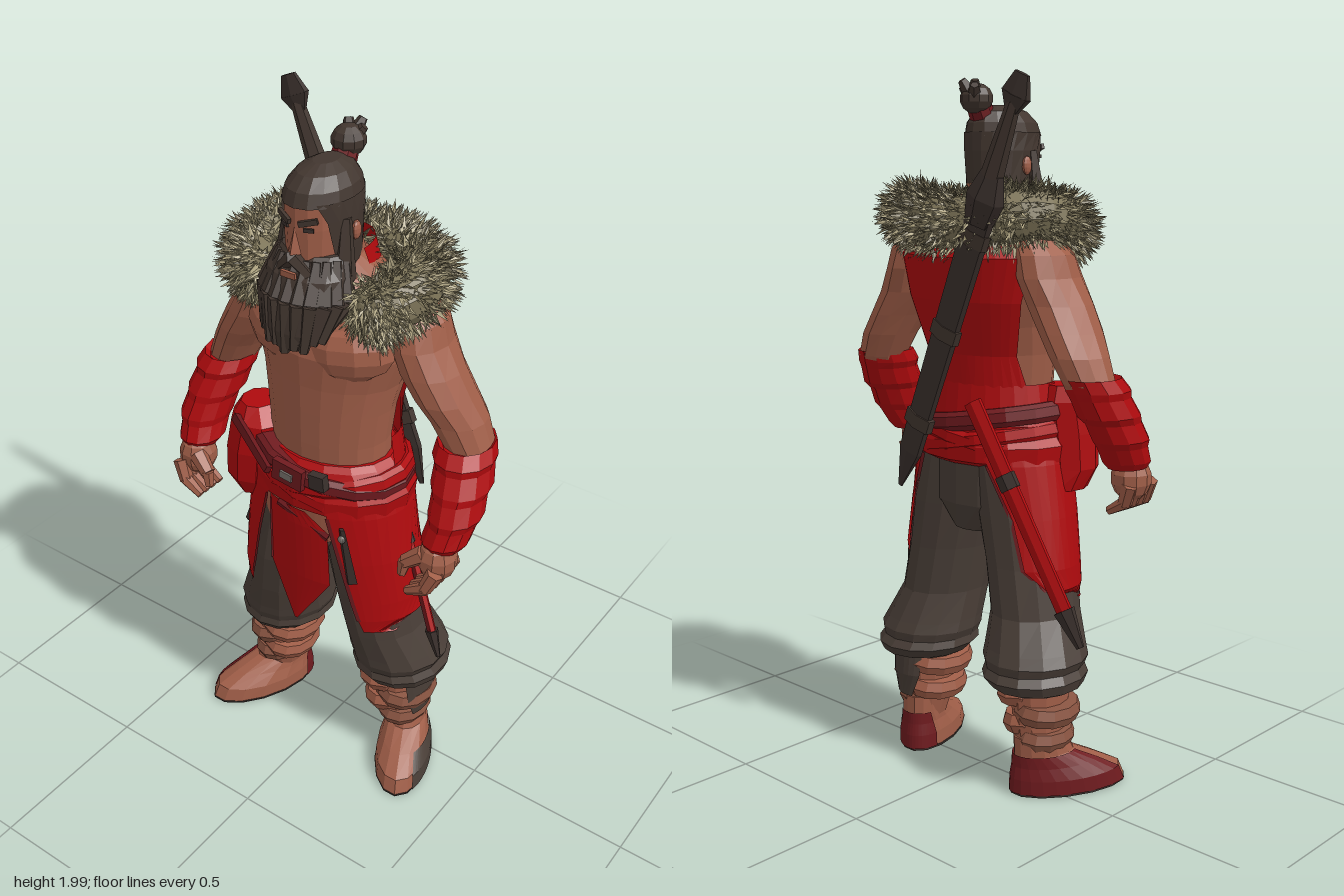
import * as THREE from 'three';

const mat = (name, color) => {
  const m = new THREE.MeshStandardMaterial({ color, flatShading: true, side: THREE.DoubleSide });
  m.name = name;
  return m;
};

export function createModel() {
  const skin = mat('skin', 0xa05e48), red = mat('red cloth', 0xae0a0d), maroon = mat('maroon leather', 0x6e1a1e);
  const hair = mat('hair', 0x42362f), cloth = mat('trouser cloth', 0x493e37), dark = mat('dark metal', 0x3a302c);
  const furLight = mat('light fur', 0xb0a582), furDark = mat('dark fur', 0x7d7458), wrap = mat('leg wrap', 0x8a5542);
  const steel = mat('steel', 0x77706a);
  const root = new THREE.Group();
  let seed = 7;
  const rnd = () => (seed = (seed * 16807) % 2147483647) / 2147483647;
  const V = (x, y, z) => new THREE.Vector3(x, y, z);
  const P = Math.PI;

  const add = (name, geo, material, parent = root) => {
    const m = new THREE.Mesh(geo, material);
    m.name = name;
    parent.add(m);
    return m;
  };
  // Stack of horizontal rings [y, cx, cz, rx, rz, a0, a1], bottom to top; angle 0 faces front, s mirrors in x.
  const loft = (name, material, rings, { n = 16, s = 1, parent = root } = {}) => {
    const pos = [], idx = [], open = rings[0].length > 5;
    for (const [y, cx, cz, rx, rz, a0 = 0, a1 = P * 2] of rings)
      for (let j = 0; j <= n; j++) {
        const t = (s > 0 ? a0 : -a1) + (a1 - a0) * j / n;
        pos.push(s * cx + rx * Math.sin(t), y, cz + rz * Math.cos(t));
      }
    const w = n + 1, last = (rings.length - 1) * w;
    for (let i = 0; i < rings.length - 1; i++)
      for (let j = 0; j < n; j++) {
        const a = i * w + j;
        idx.push(a, a + 1, a + w + 1, a, a + w + 1, a + w);
      }
    if (!open) {
      const e = rings[rings.length - 1], b = pos.length / 3;
      pos.push(s * rings[0][1], rings[0][0], rings[0][2], s * e[1], e[0], e[2]);
      for (let j = 0; j < n; j++) idx.push(b, j + 1, j, b + 1, last + j, last + j + 1);
    }
    const g = new THREE.BufferGeometry();
    g.setAttribute('position', new THREE.Float32BufferAttribute(pos, 3));
    g.setIndex(idx);
    g.computeVertexNormals();
    return add(name, g, material, parent);
  };
  // Tapered rod between two points
  const rod = (name, material, p, q, r0, r1, n = 6, flat = 1, parent = root) => {
    const d = q.clone().sub(p), m = add(name, new THREE.CylinderGeometry(r1, r0, d.length(), n), material, parent);
    m.position.copy(p).add(q).multiplyScalar(0.5);
    m.quaternion.setFromUnitVectors(V(0, 1, 0), d.normalize());
    m.scale.z = flat;
    return m;
  };
  const ball = (name, material, x, y, z, rx, ry, rz) => {
    const m = add(name, new THREE.SphereGeometry(1, 10, 7), material);
    m.position.set(x, y, z);
    m.scale.set(rx, ry, rz);
    return m;
  };
  const box = (name, material, x, y, z, w, h, d, rz = 0) => {
    const m = add(name, new THREE.BoxGeometry(w, h, d), material);
    m.position.set(x, y, z);
    m.rotation.z = rz;
    return m;
  };

  // Torso, vest and neck
  loft('torso', skin, [[.9, 0, .05, .17, .13], [1.05, 0, .06, .182, .135], [1.15, 0, .06, .182, .138], [1.25, 0, .055, .193, .143],
    [1.33, 0, .04, .208, .158], [1.42, 0, .025, .24, .176], [1.5, 0, .005, .25, .175], [1.56, 0, 0, .22, .15], [1.62, 0, .01, .12, .11], [1.67, 0, .04, .08, .08], [1.74, 0, .06, .07, .08]], { n: 20 });
  loft('vestBack', red, [[1.1, 0, .05, .2, .155, P - 1.3, P + 1.3], [1.25, 0, .045, .205, .16, P - 1, P + 1], [1.4, 0, .02, .245, .18, P - 1.05, P + 1.05],
    [1.52, 0, 0, .258, .18, P - 1.2, P + 1.2], [1.6, 0, 0, .17, .135, P - 1.3, P + 1.3]]);
  loft('neckScarf', red, [[1.6, 0, .01, .11, .11, 1.5, P * 2 - 1.5], [1.69, 0, .03, .09, .115, 1.5, P * 2 - 1.5]]);

  // Head and hair
  loft('head', skin, [[1.62, 0, .12, .06, .07], [1.7, 0, .1, .08, .1], [1.78, 0, .095, .084, .108], [1.84, 0, .09, .083, .112], [1.89, 0, .09, .06, .09]]);
  add('nose', new THREE.ConeGeometry(.02, .07, 4), skin).position.set(0, 1.755, .205);
  loft('hairBack', hair, [[1.63, 0, .06, .08, .085, 1.0, P * 2 - 1.0], [1.72, 0, .085, .091, .113, 1.0, P * 2 - 1.0], [1.8, 0, .085, .094, .12, .85, P * 2 - .85], [1.85, 0, .085, .093, .122, .6, P * 2 - .6]]);
  loft('hairTop', hair, [[1.84, 0, .087, .092, .123], [1.875, 0, .083, .084, .114], [1.905, 0, .076, .062, .088], [1.922, 0, .07, .03, .045]]);
  rod('hairTie', maroon, V(0, 1.89, .005), V(0, 1.915, -.008), .036, .034, 8);
  ball('topknot', hair, 0, 1.938, -.02, .046, .042, .046);
  for (let i = 0; i < 5; i++) rod('topknotTuft', hair, V(0, 1.93, -.025), V((i - 2) * .016, 1.972 + (i & 1) * .014, -.06 + (i % 3) * .018), .028, .012, 5);

  // Beard: rounded body with overlapping locks that jut forward
  loft('beard', hair, [[1.475, 0, .235, .05, .03], [1.52, 0, .215, .092, .052], [1.59, 0, .185, .118, .075], [1.66, 0, .15, .118, .085], [1.71, 0, .115, .096, .075]], { n: 14 });
  for (let i = -5; i <= 5; i++) {
    const t = i * .28, c = Math.cos(t), x = Math.sin(t);
    const tip = V(x * .1, 1.462 + .07 * (1 - c) + (i & 1 ? .012 : 0), .195 + .062 * c), bulge = V(x * .118, 1.6, .14 + .1 * c);
    rod('beardLock', hair, tip, bulge, .014, .031, 5);
    rod('beardRoot', hair, bulge, V(x * .096, 1.7, .11 + .088 * c), .031, .014, 5);
  }
  box('mouth', skin, 0, 1.672, .234, .045, .016, .009);
  for (const s of [1, -1]) {
    rod('moustache', hair, V(s * .07, 1.645, .2), V(0, 1.71, .215), .012, .02, 5);
    rod('sideburn', hair, V(s * .092, 1.64, .125), V(s * .085, 1.8, .11), .032, .016, 5);
    box('eyebrow', hair, s * .036, 1.806, .198, .05, .014, .009, s * .25).rotation.y = s * .4;
    box('eye', dark, s * .036, 1.785, .196, .026, .01, .006).rotation.y = s * .4;
    ball('ear', skin, s * .096, 1.76, .08, .011, .026, .017);
  }

  // Fur mantle: a thick U-shaped roll with rounded ends, covered with tufts
  const path = new THREE.CatmullRomCurve3([V(-.185, 1.585, .13), V(-.235, 1.61, .06), V(-.22, 1.63, -.04), V(-.125, 1.62, -.12), V(0, 1.61, -.15),
    V(.125, 1.62, -.12), V(.22, 1.63, -.04), V(.235, 1.61, .06), V(.185, 1.585, .13)]);
  const up = V(0, 1, 0), tufts = [[], []];
  add('furRoll', new THREE.TubeGeometry(path, 32, .072, 10), furDark);
  const addTuft = (base, normal, dir, k) => {
    const side = V().crossVectors(dir, normal).normalize().multiplyScalar(.01);
    const tip = base.clone().addScaledVector(dir, .035 + rnd() * .028);
    const mid = base.clone().addScaledVector(dir, .015).addScaledVector(normal, .006);
    tufts[k % 5 < 3 ? 0 : 1].push(base.clone().sub(side), mid, tip, mid, base.clone().add(side), tip);
  };
  const jitter = () => V(rnd() - .5, rnd() * .6 - .45, rnd() - .5);
  for (let k = 0; k < 3200; k++) {
    const u = rnd(), a = rnd() * P * 2, p = path.getPointAt(u), tan = path.getTangentAt(u);
    const outward = V().crossVectors(tan, up).normalize();
    if (outward.dot(V(p.x, 0, p.z - .05)) < 0) outward.negate();
    const normal = outward.clone().multiplyScalar(Math.cos(a)).addScaledVector(up, Math.sin(a));
    const dir = normal.clone().multiplyScalar(.6).addScaledVector(outward, .5).add(jitter()).normalize();
    addTuft(p.clone().addScaledVector(normal, .066), normal, dir, k);
  }
  for (const x of [-.185, .185]) {
    ball('furEnd', furDark, x, 1.585, .13, .068, .068, .04);
    for (let k = 0; k < 260; k++) {
      const a = rnd() * P * 2, h = rnd(), r = Math.sqrt(1 - h * h);
      const normal = V(r * Math.cos(a), r * Math.sin(a), h);
      const dir = V(normal.x + x * 2, normal.y - .5, .35).add(jitter()).normalize();
      addTuft(V(x, 1.585, .13).add(V(normal.x * .066, normal.y * .066, h * .039)), normal, dir, k);
    }
  }
  tufts.forEach((points, i) => {
    const g = new THREE.BufferGeometry().setFromPoints(points);
    g.computeVertexNormals();
    add('furTufts', g, i ? furDark : furLight);
  });

  for (const s of [1, -1]) {
    const o = { s, n: 12 };
    // Chest, arm, bracer and hand
    const pec = ball('pectoral', skin, s * .108, 1.44, .125, .125, .085, .07);
    pec.rotation.set(-.15, s * .25, s * .15);
    loft('arm', skin, [[1.1, .425, .03, .06, .06], [1.2, .4, -.01, .07, .075], [1.27, .365, -.01, .078, .088], [1.33, .328, 0, .08, .098], [1.4, .285, .005, .085, .1],
      [1.47, .252, 0, .076, .105], [1.53, .235, -.005, .075, .095], [1.58, .2, -.01, .055, .07], [1.6, .19, -.01, .03, .04]], o);
    loft('bracer', red, [[.955, .425, .13, .05, .06], [.975, .425, .125, .064, .074], [1.02, .43, .1, .064, .08], [1.04, .432, .09, .072, .088], [1.09, .425, .065, .07, .088],
      [1.11, .422, .05, .08, .097], [1.16, .412, .025, .076, .093], [1.18, .408, .02, .084, .097], [1.215, .4, .0, .076, .09], [1.2, .4, .005, .06, .07]], o);
    ball('palm', skin, s * .42, .92, .155, .056, .065, .058);
    for (let i = 0; i < 4; i++) {
      const z = .205 - i * .029;
      rod('finger', skin, V(s * .445, .91, z), V(s * .42, .85, z + .01), .024, .02);
      rod('fingertip', skin, V(s * .423, .855, z + .01), V(s * .365, .822, z + .012), .02, .013);
    }
    rod('thumb', skin, V(s * .395, .94, .185), V(s * .345, .9, .2), .027, .021);
    rod('thumbTip', skin, V(s * .347, .905, .2), V(s * .34, .86, .205), .02, .013);

    // Baggy trouser leg and wrapped shin
    loft('trouserLeg', cloth, [[.3, .225, .01, .085, .1], [.322, .225, -.005, .125, .14], [.352, .215, -.005, .145, .16], [.375, .21, .0, .136, .15], [.4, .21, .002, .147, .155], [.43, .203, .01, .14, .15],
      [.52, .18, .035, .12, .14], [.66, .155, .045, .12, .145], [.8, .13, .045, .13, .145], [.97, .1, .045, .12, .145]], { s, n: 14 });
    loft('shin', skin, [[.1, .235, 0, .055, .07], [.2, .225, .01, .07, .09], [.34, .22, .01, .08, .1]], o);
    [.165, .205, .245, .29].forEach((y, i) => {
      const r = .068 + i * .005, tilt = i & 1 ? .12 : -.1;
      const band = loft('shinWrap', i & 1 ? skin : wrap, [[y - .027, .225, .012, r, r + .018], [y, .225, .012, r + .01, r + .03], [y + .027, .225, .012, r, r + .018]], o);
      band.rotation.z = s * tilt;
      band.position.y = -.225 * Math.sin(tilt);
    });

    // Shoe, turned outwards
    const foot = new THREE.Group();
    foot.name = 'foot';
    foot.position.set(s * .24, 0, -.01);
    foot.rotation.y = s * .45;
    root.add(foot);
    const f = { s, n: 14, parent: foot };
    const shoe = [[.008, 0, .09, .084, .178], [.05, 0, .082, .082, .168], [.085, 0, .05, .07, .13], [.12, 0, .012, .062, .09], [.17, 0, 0, .06, .078]];
    const patch = (name, m, a0, a1, rows) => loft(name, m, rows.map(i => {
      const [y, cx, cz, rx, rz] = shoe[i];
      return [y, cx, cz, rx + .004, rz + .004, a0, a1];
    }), f);
    loft('sole', dark, [[0, 0, .09, .084, .178], [.008, 0, .09, .086, .18]], f);
    loft('shoe', skin, shoe, f);
    if (s > 0) {
      patch('toeGuard', cloth, .6, 2.0, [0, 1, 2]);
      patch('heelPatch', maroon, 2.3, 3.9, [0, 1, 2, 3]);
    } else patch('heelPatch', maroon, .5, 3.9, [0, 1, 2, 3]);

    // Side skirt panel with a dark lining and a narrow hem along its front edge
    const panel = [[.555, .02, .045, .278, .185, .72, 1.15], [.6, .02, .045, .28, .19, .66, 1.95], [.66, .02, .045, .275, .19, .6, 2.25],
      [.8, .01, .05, .265, .19, .52, 2.35], [.95, 0, .05, .25, .19, .42, 2.6], [1.03, 0, .05, .23, .18, .35, 2.8]];
    loft('sidePanel', red, panel, { s, n: 14 });
    loft('panelLining', maroon, panel.slice(1, 5).map(([y, x, z, rx, rz, a, b]) => [y, x, z, rx - .006, rz - .006, a + .3, b + .04]), { s, n: 12 });
    loft('panelHem', maroon, panel.slice(1, 5).map(([y, x, z, rx, rz, a]) => [y, x, z, rx + .002, rz + .002, a - .02, a + .03]), { s, n: 2 });
  }
  loft('shinGuard', cloth, [[.18, .225, .012, .09, .11, 1.1, 3.4], [.25, .225, .012, .1, .122, .9, 3.7], [.33, .225, .012, .1, .122, .8, 3.8]]);

  // Hips, front panel and sash
  loft('hips', cloth, [[.74, 0, .045, .1, .12], [.82, 0, .045, .19, .15], [.98, 0, .05, .2, .155]]);
  loft('lowerBelly', skin, [[.83, 0, .05, .225, .166, -.62, .3], [.88, 0, .05, .235, .17, -.64, .64], [.97, 0, .05, .24, .175, -.66, .66]]);
  loft('frontPanel', red, [[.52, -.02, .05, .24, .165, -.02, .02], [.7, 0, .05, .25, .175, -.44, .42], [.89, 0, .05, .24, .18, -.44, .42], [.945, 0, .05, .24, .18, -.44, .12]], { n: 8 });
  rod('frontPanelTrim', maroon, V(-.06, .945, .23), V(.1, .875, .216), .014, .014, 4, .4);
  rod('frontPanelTrim', maroon, V(-.1, .93, .214), V(-.105, .71, .21), .007, .007, 4, .4);
  loft('sash', red, [[.94, 0, .05, .2, .16], [.955, 0, .05, .25, .188], [1.0, 0, .05, .255, .19], [1.03, 0, .05, .235, .178], [1.06, 0, .05, .238, .178],
    [1.085, 0, .055, .212, .165], [1.1, 0, .055, .195, .15]]);
  loft('waistBack', red, [[1.05, 0, .05, .22, .172, 1.5, 4.95], [1.17, 0, .05, .202, .16, 1.5, 4.95]]);
  loft('sashBundle', red, [[.87, -.225, .11, .055, .07], [.93, -.225, .13, .08, .08], [1.03, -.215, .13, .085, .085], [1.12, -.205, .12, .085, .08], [1.165, -.215, .11, .05, .055]], { n: 9 });
  // Crossing waist bands
  [[red, .16, 1.02, 1.01], [red, -.2, 1.0, 1.01], [maroon, -.16, 1.06, 1.02]].forEach(([m, tilt, y, size]) => {
    const band = loft('waistBand', m, [[-.026, 0, 0, .235, .18], [-.012, 0, 0, .245, .19], [.014, 0, 0, .243, .188], [.026, 0, 0, .23, .175]]);
    band.position.set(0, y, .05);
    band.rotation.z = tilt;
    band.scale.setScalar(size);
  });
  rod('bundleStrap', maroon, V(-.235, 1.135, .19), V(-.08, 1.05, .246), .03, .026, 4, .5);
  box('buckle', maroon, -.01, 1.065, .243, .1, .065, .02, -.1);
  box('buckleFace', steel, -.01, 1.065, .255, .04, .022, .008, -.1);
  box('pouch', dark, .085, 1.075, .235, .05, .045, .025, .1);
  rod('tassel', dark, V(.17, .74, .2), V(.15, .93, .218), .022, .01, 4, .6);
  ball('tasselBead', steel, .153, .9, .224, .012, .012, .008);

  // Hip scabbards with dark tips
  for (const [p, q] of [[V(-.1, 1.13, -.14), V(-.45, .5, -.09)], [V(.17, 1.0, .0), V(.4, .5, .09)]]) {
    const at = t => p.clone().lerp(q, t);
    rod('hipScabbard', red, at(0), at(.88), .028, .025, 6, .5);
    rod('scabbardEdge', maroon, at(.02).add(V(0, 0, .01)), at(.87).add(V(0, 0, .01)), .012, .012, 4, .6);
    rod('scabbardBand', dark, at(.3), at(.36), .031, .031, 6, .6);
    rod('scabbardTip', dark, at(.85), at(1), .033, .012, 6, .6);
  }

  // Great sword slung across the back
  const sword = new THREE.Group();
  sword.name = 'greatSword';
  sword.position.set(.16, .86, -.17);
  sword.rotation.set(-.02, 0, .405);
  root.add(sword);
  const part = (name, m, y0, y1, r0, r1, flat = .42) => rod(name, m, V(0, y0, 0), V(0, y1, 0), r0, r1, 6, flat, sword);
  part('scabbardPoint', dark, 0, .12, .008, .042);
  part('scabbard', dark, .12, .84, .042, .05);
  for (const y of [.2, .48, .76]) part('scabbardRing', hair, y, y + .04, .054, .054, .43);
  part('guardLower', dark, .82, .89, .045, .06, .65);
  part('guardUpper', dark, .89, .96, .06, .036, .65);
  part('grip', hair, .95, 1.15, .034, .02, .8);
  part('pommel', dark, 1.125, 1.17, .022, .05, .4);
  part('pommelCap', dark, 1.17, 1.225, .05, .026, .35);

  return root;
}
